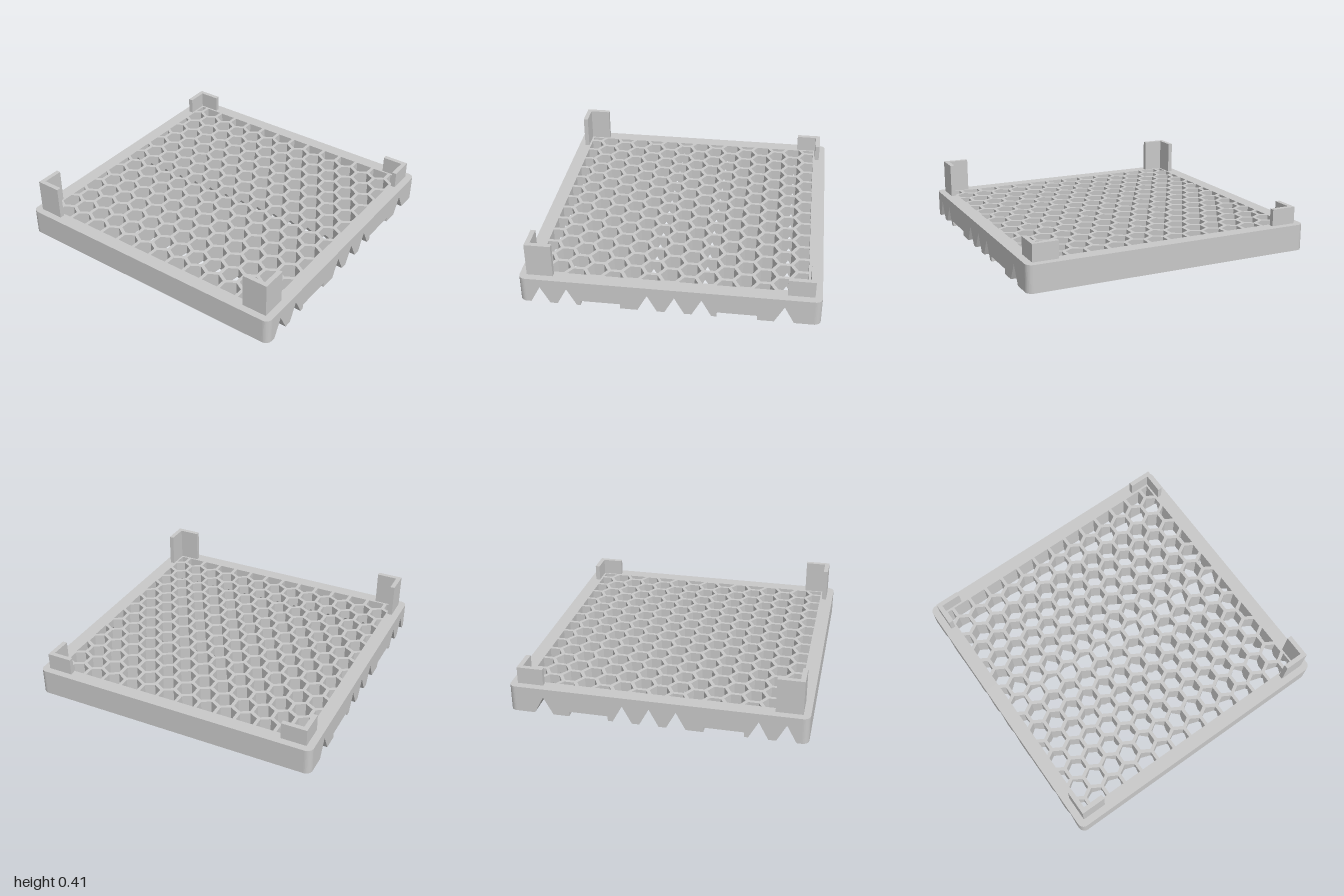
import * as THREE from 'three';

const H = 0.18;                    // tray thickness
const HALF_Z = 0.983, CORNER = 0.045;
const OPEN_X = 0.905, OPEN_Z = 0.89;
const PITCH = 0.1415, ROW = PITCH * Math.sqrt(3) / 2, WALL = 0.024, SHIFT_X = -0.01;
const SLOT = 0.034;

// Underside height along z: V grooves and shallow slots that run across x
const vee = c => [[c - 0.064, 0], [c, 0.12], [c + 0.064, 0]];
const slot = (a, b) => [[a, 0], [a, SLOT], [b, SLOT], [b, 0]];
const underside = [
  [-1, 0], ...vee(-0.749), ...slot(-0.577, -0.315),
  ...vee(-0.218), ...vee(-0.041), ...vee(0.136),
  ...slot(0.315, 0.576), ...vee(0.666), ...vee(0.843), [1, 0],
];

// Plan points are { x, z, top }; top is the wall height on the edge that starts there (0 = no wall)
const pt = (x, z, top = 0) => ({ x, z, top });

// Keep the part of a convex plan where a*x + b*z <= c
function clip(poly, a, b, c, newTop = 0) {
  const out = [];
  poly.forEach((p, i) => {
    const q = poly[(i + 1) % poly.length];
    const dp = a * p.x + b * p.z - c, dq = a * q.x + b * q.z - c;
    if (dp <= 0) out.push(p);
    if ((dp <= 0) !== (dq <= 0)) {
      const t = dp / (dp - dq);
      out.push(pt(p.x + (q.x - p.x) * t, p.z + (q.z - p.z) * t, dp <= 0 ? newTop : p.top));
    }
  });
  return out;
}

function area(poly) {
  return poly.reduce((s, p, i) => {
    const q = poly[(i + 1) % poly.length];
    return s + p.x * q.z - q.x * p.z;
  }, 0) / 2;
}

// Raise convex plans to H, with the underside following the groove profile
function grooved(plans) {
  const pos = [];
  const tri = (...v) => v.forEach(p => pos.push(...p));
  for (let s = 0; s + 1 < underside.length; s++) {
    const [z0, h0] = underside[s], [z1, h1] = underside[s + 1];
    if (z1 - z0 < 1e-6) continue;
    // Step faces where this strip meets a slot
    const before = underside[s - 1], after = underside[s + 2];
    const top0 = before && before[0] === z0 && before[1] > h0 ? SLOT : 0;
    const top1 = after && after[0] === z1 && after[1] > h1 ? SLOT : 0;
    const low = p => [p.x, h0 + (h1 - h0) * (p.z - z0) / (z1 - z0), p.z];
    const at = (p, y) => [p.x, y, p.z];
    for (const plan of plans) {
      const poly = clip(clip(plan, 0, -1, -z0, top0), 0, 1, z1, top1);
      if (poly.length < 3 || area(poly) < 1e-7) continue;
      for (let i = 1; i + 1 < poly.length; i++) {
        tri(at(poly[0], H), at(poly[i + 1], H), at(poly[i], H));
        tri(low(poly[0]), low(poly[i]), low(poly[i + 1]));
      }
      poly.forEach((p, i) => {
        const q = poly[(i + 1) % poly.length];
        if (!p.top || Math.hypot(q.x - p.x, q.z - p.z) < 1e-6) return;
        tri(low(p), at(p, p.top), at(q, p.top));
        tri(low(p), at(q, p.top), low(q));
      });
    }
  }
  const geo = new THREE.BufferGeometry();
  geo.setAttribute('position', new THREE.Float32BufferAttribute(pos, 3));
  geo.computeVertexNormals();
  return geo;
}

// Rim: two side bars and two end bars with rounded outer corners
function rimPlans() {
  const side = [pt(-1, -OPEN_Z), pt(-OPEN_X, -OPEN_Z, H), pt(-OPEN_X, OPEN_Z), pt(-1, OPEN_Z, H)];
  const end = [pt(-1, OPEN_Z, H), pt(1, OPEN_Z, H)];
  for (const [sx, start] of [[1, 0], [-1, Math.PI / 2]]) {
    for (let i = 0; i <= 8; i++) {
      const a = start + i / 8 * Math.PI / 2;
      end.push(pt(sx * (1 - CORNER) + CORNER * Math.cos(a), HALF_Z - CORNER + CORNER * Math.sin(a), H));
    }
  }
  const turned = poly => poly.map(p => pt(-p.x, -p.z, p.top));
  return [side, turned(side), end, turned(end)];
}

// Honeycomb: six wall pieces around each hexagonal hole, trimmed to the opening
function honeycombPlans() {
  const plans = [];
  const outer = PITCH / Math.sqrt(3), inner = (PITCH - WALL) / Math.sqrt(3);
  for (let row = -7; row <= 7; row++) {
    for (let col = -8; col <= 8; col++) {
      const cx = SHIFT_X + (col + (row % 2 ? 0.5 : 0)) * PITCH, cz = row * ROW;
      for (let k = 0; k < 6; k++) {
        const corner = (r, n, top) => {
          const a = Math.PI / 6 + n * Math.PI / 3;
          return pt(cx + r * Math.cos(a), cz + r * Math.sin(a), top);
        };
        let poly = [corner(outer, k), corner(outer, k + 1), corner(inner, k + 1, H), corner(inner, k)];
        for (const s of [-1, 1]) {
          poly = clip(poly, s, 0, OPEN_X);
          poly = clip(poly, 0, s, OPEN_Z);
        }
        if (poly.length > 2) plans.push(poly);
      }
    }
  }
  return plans;
}

// L-shaped corner post standing on the rim
function cornerPost(sx, sz, top, material) {
  const x = 0.95, z = 0.936, arm = 0.174, t = 0.032;
  const outline = [[x, z], [x - arm, z], [x - arm, z - t], [x - t, z - t], [x - t, z - arm], [x, z - arm]];
  const shape = new THREE.Shape(outline.map(([a, b]) => new THREE.Vector2(a * sx, -b * sz)));
  const geo = new THREE.ExtrudeGeometry(shape, { depth: top - H, bevelEnabled: false });
  geo.rotateX(-Math.PI / 2);
  geo.translate(0, H, 0);
  return new THREE.Mesh(geo, material);
}

export function createModel() {
  const group = new THREE.Group();
  group.name = 'honeycombTray';
  const grey = new THREE.MeshStandardMaterial({ color: 0xc8c8c8 });
  grey.name = 'lightGrey';

  const rim = new THREE.Mesh(grooved(rimPlans()), grey);
  rim.name = 'rim';
  const honeycomb = new THREE.Mesh(grooved(honeycombPlans()), grey);
  honeycomb.name = 'honeycomb';
  group.add(rim, honeycomb);

  // Tall posts at the front, short ones at the back
  for (const sx of [1, -1]) {
    for (const sz of [1, -1]) {
      const post = cornerPost(sx, sz, sz > 0 ? 0.413 : 0.296, grey);
      post.name = (sz > 0 ? 'front' : 'back') + (sx > 0 ? 'Left' : 'Right') + 'Post';
      group.add(post);
    }
  }
  return group;
}
